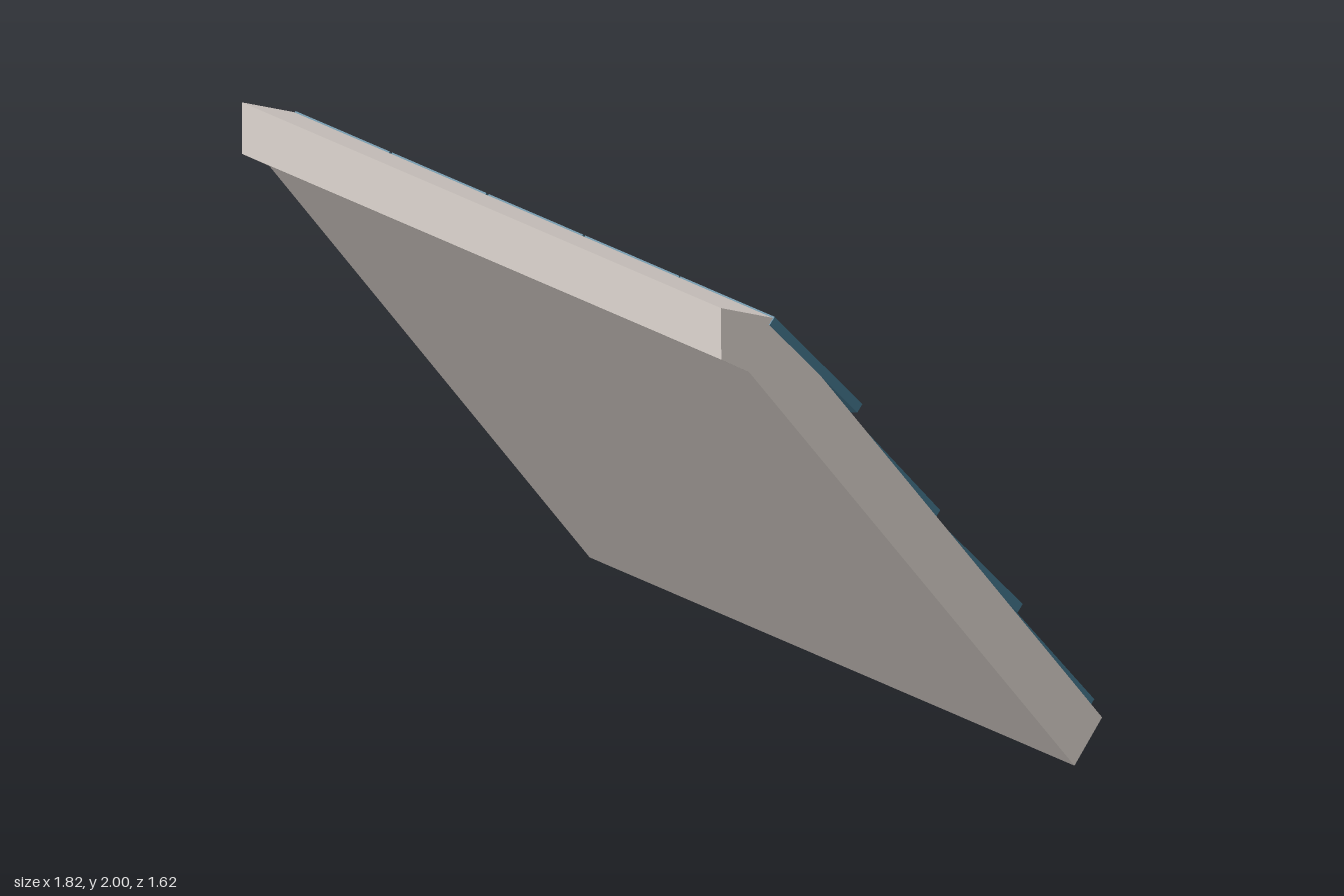
import * as THREE from 'three';

const slabMaterial = new THREE.MeshStandardMaterial({ color: 0xe0d8d2 });
const tileMaterial = new THREE.MeshStandardMaterial({ color: 0x457890 });

function outline(points) {
  return new THREE.Shape(points.map(([x, y]) => new THREE.Vector2(x, y)));
}

// Sloping roof board with a bent ridge lip; profile given as (z, y)
function createSlab() {
  const profile = [
    [0.81, 2], [0.81, 1.838], [0.697, 1.755],
    [-0.623, 0], [-0.738, 0.106], [0.597, 1.885],
  ];
  const geometry = new THREE.ExtrudeGeometry(
    outline(profile.map(([z, y]) => [-z, y])), { depth: 1, bevelEnabled: false });
  geometry.rotateY(Math.PI / 2);
  // The +x side narrows slightly towards the ridge
  const p = geometry.attributes.position;
  for (let i = 0; i < p.count; i++) {
    p.setX(i, p.getX(i) > 0.5 ? 0.907 - 0.011 * p.getY(i) : -0.909);
  }
  geometry.computeVertexNormals();
  const slab = new THREE.Mesh(geometry, slabMaterial);
  slab.name = 'roofBoard';
  return slab;
}

// One row of pointed shingles, from the head edge down to the tips, as (z, y)
function createRow(index, [headZ, headY], [tipZ, tipY]) {
  const row = new THREE.Group();
  row.name = `shingleRow${index + 1}`;
  const half = 0.1765, thickness = 0.027;
  const run = headZ - tipZ, rise = headY - tipY;
  const length = Math.hypot(run, rise);
  const shoulder = 0.086 * length / run;

  const geometry = new THREE.ExtrudeGeometry(outline([
    [-half, length], [-half, shoulder], [0, 0], [half, shoulder], [half, length],
  ]), { depth: thickness, bevelEnabled: false });
  geometry.translate(0, 0, -thickness);

  // Lay the shingle along the slope with its face outward
  const across = new THREE.Vector3(-1, 0, 0);
  const up = new THREE.Vector3(0, rise, run).normalize();
  const normal = new THREE.Vector3().crossVectors(across, up);
  geometry.applyMatrix4(new THREE.Matrix4().makeBasis(across, up, normal));

  [-0.729, -0.367, -0.005, 0.356, 0.713].forEach((x) => {
    const tile = new THREE.Mesh(geometry, tileMaterial);
    tile.name = 'shingle';
    tile.position.set(x, tipY, tipZ);
    row.add(tile);
  });
  return row;
}

export function createModel() {
  const model = new THREE.Group();
  model.name = 'roofPanel';
  model.add(createSlab());

  // Each row tucks its head beneath the row above
  const rows = [
    [[0.593, 1.888], [0.146, 1.37]],
    [[0.275, 1.45], [-0.175, 0.905]],
    [[-0.065, 0.998], [-0.515, 0.48]],
    [[-0.36, 0.618], [-0.81, 0.055]],
  ];
  rows.forEach(([head, tip], i) => model.add(createRow(i, head, tip)));
  return model;
}
